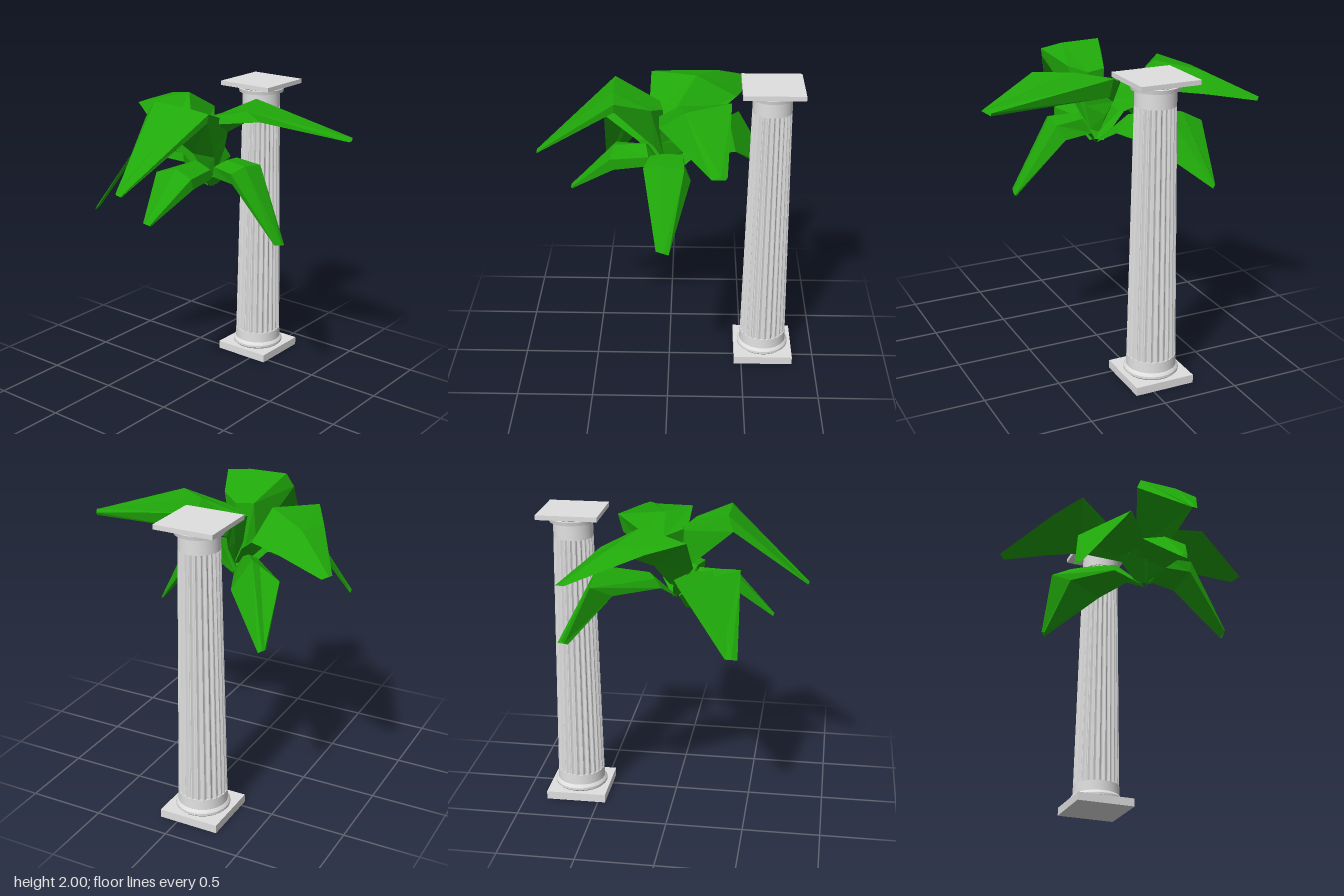
import * as THREE from 'three';
import { toCreasedNormals } from 'three/addons/utils/BufferGeometryUtils.js';

const stone = new THREE.MeshStandardMaterial({ color: 0xe0e0e0 });
stone.name = 'pale stone';
const green = new THREE.MeshStandardMaterial({ color: 0x20a80a, side: THREE.DoubleSide, flatShading: true });
green.name = 'leaf green';

function add(group, name, geometry, material, y = 0) {
  const mesh = new THREE.Mesh(geometry, material);
  mesh.name = name;
  mesh.position.y = y;
  group.add(mesh);
  return mesh;
}

// Round stone part from a radius/height profile
function turned(points) {
  const profile = points.map(([r, y]) => new THREE.Vector2(r, y));
  return toCreasedNormals(new THREE.LatheGeometry(profile, 48), 0.5);
}

// Tapered shaft with scooped flutes between narrow ridges
function flutedShaft(rTop, rBottom, height, flutes, depth) {
  const steps = 6;
  const geometry = new THREE.CylinderGeometry(rTop, rBottom, height, flutes * steps, 1, true);
  const p = geometry.attributes.position;
  for (let i = 0; i < p.count; i++) {
    const k = (i % (flutes * steps + 1)) % steps;
    const scoop = k < 2 ? 0 : Math.sin((k - 1) / (steps - 1) * Math.PI);
    const r = Math.hypot(p.getX(i), p.getZ(i));
    const s = (r - depth * scoop) / r;
    p.setXYZ(i, p.getX(i) * s, p.getY(i), p.getZ(i) * s);
  }
  return toCreasedNormals(geometry, 0.5);
}

function createColumn() {
  const column = new THREE.Group();
  column.name = 'column';
  column.position.set(0.65, 0, -0.08);
  add(column, 'plinth', new THREE.BoxGeometry(0.4, 0.055, 0.4), stone, 0.0275);
  add(column, 'baseMoulding', turned([
    [0, 0.055], [0.165, 0.055], [0.175, 0.065], [0.175, 0.08], [0.168, 0.092], [0.16, 0.1],
    [0.157, 0.17], [0, 0.17],
  ]), stone);
  add(column, 'flutedShaft', flutedShaft(0.128, 0.157, 1.64, 24, 0.012), stone, 0.99);
  add(column, 'capital', turned([
    [0, 1.81], [0.128, 1.81], [0.126, 1.91], [0.15, 1.91], [0.155, 1.935], [0.145, 1.938],
    [0.165, 1.948], [0.165, 1.955], [0, 1.955],
  ]), stone);
  add(column, 'abacus', new THREE.BoxGeometry(0.39, 0.03, 0.39), stone, 1.97);
  return column;
}

// Closed folded leaf: rows of cross-sections from the stem to the tip, left to right
function leafGeometry(rows) {
  const vertices = [];
  for (let i = 0; i < rows.length - 1; i++) {
    const n = rows[i].length;
    for (let j = 0; j < n; j++) {
      const k = (j + 1) % n;
      const a = rows[i][j], b = rows[i][k], c = rows[i + 1][k], d = rows[i + 1][j];
      vertices.push(...a, ...b, ...c, ...a, ...c, ...d);
    }
  }
  const geometry = new THREE.BufferGeometry();
  geometry.setAttribute('position', new THREE.Float32BufferAttribute(vertices, 3));
  geometry.computeVertexNormals();
  return geometry;
}

// Narrow stem row at the hub, pointing along an angle in plan
function stem(angle, y, count) {
  const x = Math.cos(angle), z = Math.sin(angle);
  return Array.from({ length: count }, (_, i) => {
    const s = 2 * i / (count - 1) - 1;
    return [0.02 * x - 0.04 * s * z, y - 0.015 * Math.abs(s), 0.02 * z + 0.04 * s * x];
  });
}

const leaves = {
  upperLeafFront: [
    stem(1.2, 1.5, 4),
    [[0.14, 1.62, 0], [0.12, 1.66, -0.04], [0.03, 1.64, -0.05], [-0.05, 1.64, 0.06]],
    [[0.2, 1.72, -0.02], [0.2, 1.84, -0.07], [0.07, 1.83, -0.1], [-0.06, 1.84, 0.1]],
    [[0.36, 1.8, 0.08], [0.39, 1.92, 0.07], [0.1, 1.91, 0.21], [-0.05, 1.9, 0.42]],
    [[0.34, 1.77, 0.84], [0.35, 1.79, 0.84], [0.31, 1.8, 0.86], [0.26, 1.785, 0.87]],
  ],
  upperLeafBack: [
    stem(-1.05, 1.5, 3),
    [[-0.14, 1.68, -0.26], [-0.05, 1.66, -0.1], [0.13, 1.63, -0.09]],
    [[-0.13, 1.91, -0.5], [0.17, 1.95, -0.32], [0.43, 1.81, -0.31]],
    [[0.1, 1.87, -0.63], [0.31, 1.89, -0.58], [0.49, 1.78, -0.53]],
    [[0.53, 1.74, -0.87], [0.56, 1.745, -0.86], [0.59, 1.73, -0.83]],
  ],
  upperLeafRight: [
    stem(Math.PI, 1.5, 5),
    [[-0.09, 1.63, 0.1], [-0.11, 1.9, 0.155], [-0.04, 1.86, 0.04], [-0.06, 1.87, -0.08], [-0.07, 1.62, -0.09]],
    [[-0.33, 1.92, 0.235], [-0.33, 1.975, 0.245], [-0.345, 1.995, 0.09], [-0.345, 2, -0.17], [-0.38, 1.91, -0.21]],
    [[-0.85, 1.535, 0], [-0.85, 1.545, 0], [-0.85, 1.555, -0.025], [-0.845, 1.55, -0.05], [-0.845, 1.54, -0.05]],
  ],
  lowerLeafFront: [
    stem(1.65, 1.43, 5),
    [[0.1, 1.5, 0.08], [0.09, 1.6, 0.14], [-0.03, 1.61, 0.15], [-0.12, 1.58, 0.12], [-0.11, 1.51, 0.1]],
    [[0.14, 1.49, 0.28], [0.1, 1.58, 0.32], [-0.05, 1.6, 0.31], [-0.155, 1.57, 0.28], [-0.14, 1.5, 0.28]],
    [[0.01, 1.12, 0.57], [0.01, 1.125, 0.58], [-0.02, 1.14, 0.58], [-0.07, 1.145, 0.565], [-0.07, 1.14, 0.56]],
  ],
  lowerLeafBackRight: [
    stem(-2.2, 1.43, 3),
    [[-0.2, 1.6, -0.06], [-0.11, 1.62, -0.14], [-0.01, 1.58, -0.2]],
    [[-0.435, 1.69, -0.27], [-0.27, 1.7, -0.33], [-0.08, 1.64, -0.51]],
    [[-0.455, 1.23, -0.61], [-0.42, 1.25, -0.625], [-0.38, 1.24, -0.63]],
  ],
  lowerLeafBackLeft: [
    stem(-0.65, 1.43, 5),
    [[0.07, 1.52, -0.19], [0.11, 1.58, -0.19], [0.15, 1.61, -0.15], [0.17, 1.6, -0.12], [0.17, 1.5, -0.06]],
    [[0.34, 1.53, -0.41], [0.46, 1.61, -0.51], [0.45, 1.68, -0.375], [0.38, 1.68, -0.29], [0.43, 1.48, -0.17]],
    [[0.61, 1.23, -0.5], [0.63, 1.24, -0.51], [0.65, 1.25, -0.51], [0.67, 1.25, -0.5], [0.68, 1.23, -0.48]],
  ],
  lowerLeafRight: [
    stem(Math.PI, 1.43, 4),
    [[-0.11, 1.5, 0.1], [-0.13, 1.56, 0.1], [-0.15, 1.61, 0], [-0.13, 1.55, -0.11]],
    [[-0.35, 1.49, 0.14], [-0.37, 1.56, 0.14], [-0.35, 1.6, 0], [-0.35, 1.55, -0.16]],
    [[-0.63, 1.3, 0.03], [-0.635, 1.31, 0.03], [-0.635, 1.32, 0], [-0.63, 1.31, -0.03]],
  ],
};

export function createModel() {
  const model = new THREE.Group();
  model.name = 'columnWithFoliage';
  model.add(createColumn());
  const foliage = new THREE.Group();
  foliage.name = 'foliage';
  for (const [name, rows] of Object.entries(leaves)) add(foliage, name, leafGeometry(rows), green);
  model.add(foliage);
  return model;
}
